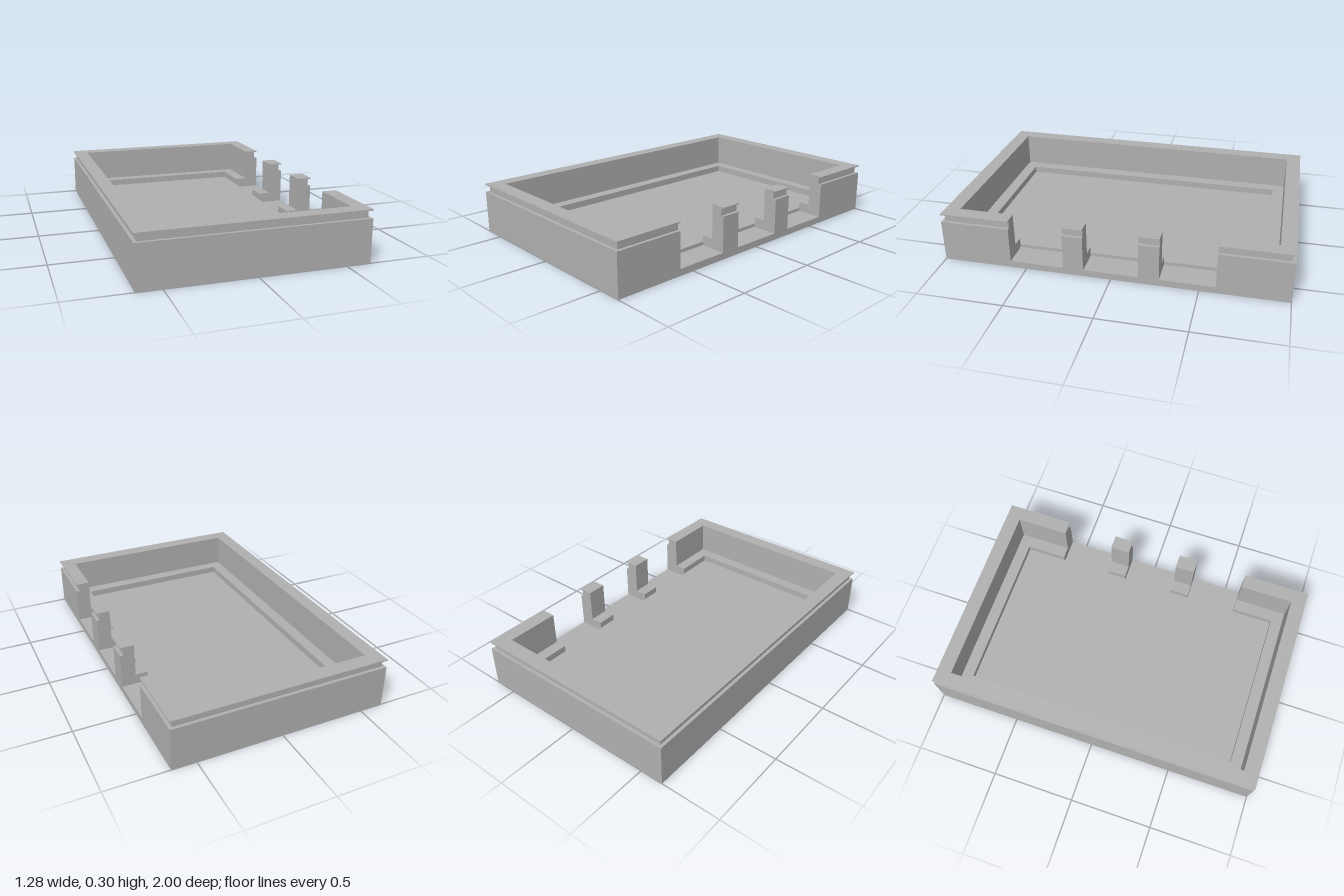
import * as THREE from 'three';

const W = 0.64, L = 1;              // outer half width and half length
const LEDGE_X = 0.483, LEDGE_Z = 0.842;
const WALL_X = 0.555, WALL_Z = 0.912;
const GAP_END = 0.592;              // the slotted stretch of the left wall
const POST = [0.158, 0.277];        // z range of each post, mirrored

export function createModel() {
  const model = new THREE.Group();
  model.name = 'tray';
  const grey = new THREE.MeshStandardMaterial({ color: 0xb0b0b0 });
  grey.name = 'grey';

  const add = (name, geometry) => {
    const mesh = new THREE.Mesh(geometry, grey);
    mesh.name = name;
    model.add(mesh);
  };

  const block = (name, x0, x1, y0, y1, z0, z1) => {
    const g = new THREE.BoxGeometry(x1 - x0, y1 - y0, z1 - z0);
    g.translate((x0 + x1) / 2, (y0 + y1) / 2, (z0 + z1) / 2);
    add(name, g);
  };

  // One level of the rim: a C-shaped wall open on the left, plus two posts
  const rimLevel = (name, y0, y1, inset, innerX, innerZ) => {
    const ox = W - inset, oz = L - inset;
    const outline = [
      [ox, GAP_END], [ox, oz], [-ox, oz], [-ox, -oz], [ox, -oz], [ox, -GAP_END],
      [innerX, -GAP_END], [innerX, -innerZ], [-innerX, -innerZ],
      [-innerX, innerZ], [innerX, innerZ], [innerX, GAP_END],
    ].map(([x, z]) => new THREE.Vector2(x, z));
    const g = new THREE.ExtrudeGeometry(new THREE.Shape(outline), { depth: y1 - y0, bevelEnabled: false });
    g.rotateX(-Math.PI / 2);
    g.translate(0, y0, 0);
    add(name + 'Wall', g);
    block(name + 'PostFront', innerX, ox, y0, y1, POST[0], POST[1]);
    block(name + 'PostBack', innerX, ox, y0, y1, -POST[1], -POST[0]);
  };

  // Bottom slab, and the floor raised slightly above the slots
  block('base', -W, W, 0, 0.04, -L, L);
  block('floor', -LEDGE_X, LEDGE_X, 0.04, 0.06, -LEDGE_Z, LEDGE_Z);

  // Rim from the bottom up: inner ledge, wall, recessed groove, thin lip
  rimLevel('ledge', 0.04, 0.1, 0, LEDGE_X, LEDGE_Z);
  rimLevel('side', 0.1, 0.25, 0, WALL_X, WALL_Z);
  rimLevel('groove', 0.25, 0.293, 0.019, WALL_X, WALL_Z);
  rimLevel('lip', 0.293, 0.3, 0, WALL_X, WALL_Z);

  return model;
}
